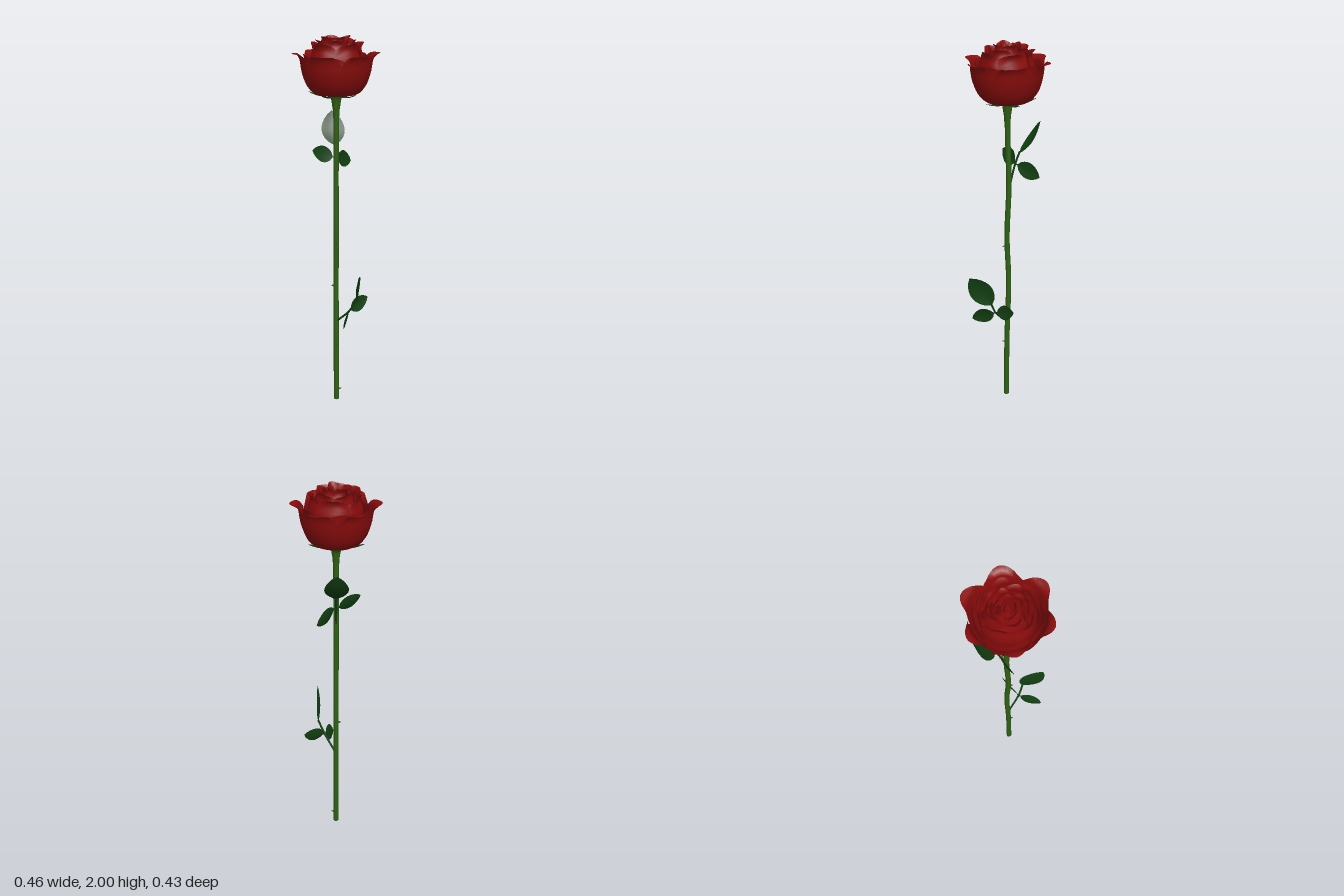
import * as THREE from 'three';

const material = (color) => new THREE.MeshStandardMaterial({ color, side: THREE.DoubleSide });
const V = (x, y, z) => new THREE.Vector3(x, y, z);

// Surface of (cols+1) x (rows+1) points; at(u, v) has u in -1..1 and v in 0..1
function gridSurface(cols, rows, at) {
  const pos = [], index = [];
  for (let j = 0; j <= rows; j++) {
    for (let i = 0; i <= cols; i++) {
      pos.push(...at((2 * i) / cols - 1, j / rows).toArray());
      if (i < cols && j < rows) {
        const a = j * (cols + 1) + i, b = a + cols + 1;
        index.push(a, a + 1, b, a + 1, b + 1, b);
      }
    }
  }
  const geo = new THREE.BufferGeometry();
  geo.setAttribute('position', new THREE.Float32BufferAttribute(pos, 3));
  geo.setIndex(index);
  geo.computeVertexNormals();
  return geo;
}

// Cupped petal: a [radius, height] profile swept over an arc, one edge tucked inside
function petalGeometry(profile, { half, drop, power, twist, wave, seed }) {
  const curve = new THREE.SplineCurve(profile.map(([r, y]) => new THREE.Vector2(r, y)));
  return gridSurface(14, 14, (u, v) => {
    const p = curve.getPointAt(v * (1 - drop * Math.abs(u) ** power));
    const r = p.x * (1 + twist * u) + wave * v ** 4 * Math.sin(4 * u + seed);
    const angle = u * half * (0.75 + 0.25 * Math.sin(Math.PI * Math.min(1, v + 0.15)));
    return V(r * Math.cos(angle), p.y, r * Math.sin(angle));
  });
}

// Leaf blade from base to tip, folded along its midrib and bowed along its normal
function leafGeometry(base, tip, width, sideHint, bow = 0.05) {
  const axis = tip.clone().sub(base), length = axis.length();
  axis.normalize();
  const side = sideHint.clone().addScaledVector(axis, -sideHint.dot(axis)).normalize();
  const normal = axis.clone().cross(side);
  return gridSurface(4, 9, (u, v) => {
    const w = (width / 2) * Math.sin(Math.PI * v ** 0.9) ** 0.75 || 0;
    const lift = bow * length * Math.sin(Math.PI * v) - 0.15 * w * Math.abs(u);
    return base.clone().addScaledVector(axis, v * length)
      .addScaledVector(side, u * w).addScaledVector(normal, lift);
  });
}

export function createModel() {
  const model = new THREE.Group();
  const red = material(0x8a0c0c), stemGreen = material(0x2f6014), leafGreen = material(0x123f12);
  const add = (parent, name, geo, mat) => {
    const mesh = new THREE.Mesh(geo, mat);
    mesh.name = name;
    parent.add(mesh);
    return mesh;
  };
  const group = (name) => {
    const g = new THREE.Group();
    g.name = name;
    model.add(g);
    return g;
  };
  const tube = (points, radius, sides = 6) =>
    new THREE.TubeGeometry(new THREE.CatmullRomCurve3(points), points.length * 5, radius, sides);

  // Stem, its cut end and the swelling under the flower
  const stem = group('stem');
  add(stem, 'stalk', tube([V(0, 0, -0.005), V(0, 0.35, -0.008), V(0, 0.7, -0.017), V(0, 0.95, -0.008),
    V(0, 1.25, -0.018), V(0, 1.5, -0.012), V(0, 1.7, -0.01)], 0.0145, 10), stemGreen);
  const cut = add(stem, 'cutEnd', new THREE.CircleGeometry(0.0145, 10), stemGreen);
  cut.rotation.x = Math.PI / 2;
  cut.position.z = -0.005;
  const swelling = [[0.0145, 1.56], [0.018, 1.62], [0.026, 1.67], [0.028, 1.69], [0.045, 1.702]];
  add(stem, 'receptacle', new THREE.LatheGeometry(
    swelling.map(([r, y]) => new THREE.Vector2(r, y)), 12), stemGreen).position.z = -0.01;

  // Thorns: [height, direction x, direction z, stem z]
  for (const [y, dx, dz, z] of [[0.06, 1, 0, -0.005], [0.33, 0, 1, -0.008], [0.66, -1, 0, -0.016], [0.9, 0, 1, -0.01]]) {
    const thorn = add(stem, 'thorn', new THREE.ConeGeometry(0.007, 0.02, 6), stemGreen);
    thorn.position.set(dx * 0.02, y, z + dz * 0.02);
    thorn.quaternion.setFromUnitVectors(V(0, 1, 0), V(dx, 0.15, dz).normalize());
  }

  // Leaf sprays: a stalk with one end leaf and two side leaflets
  const sprays = [
    { name: 'upperSpray', stalk: [V(0, 1.23, -0.02), V(0, 1.36, -0.05), V(0, 1.43, -0.075)],
      leaves: [
        [V(0, 1.42, -0.072), V(0, 1.59, -0.182), 0.125, V(1, 0, 0), 0.08],
        [V(-0.012, 1.362, -0.05), V(-0.128, 1.41, 0), 0.088, V(0, 1, -0.35)],
        [V(0.012, 1.362, -0.06), V(0.102, 1.315, -0.165), 0.088, V(0, -1, 0.2)],
      ] },
    { name: 'lowerSpray', stalk: [V(0, 0.455, -0.01), V(0.06, 0.535, 0.06), V(0.097, 0.61, 0.09)],
      leaves: [
        [V(0.096, 0.6, 0.085), V(0.097, 0.765, 0.205), 0.125, V(0.15, 0.6, -0.8), 0.06],
        [V(0.057, 0.535, 0.07), V(0.01, 0.485, 0.185), 0.088, V(0.2, 1, 0)],
        [V(0.068, 0.54, 0.056), V(0.175, 0.585, -0.022), 0.08, V(0.15, -1, 0.1)],
      ] },
  ];
  for (const { name, stalk, leaves } of sprays) {
    const spray = group(name);
    add(spray, 'leafStalk', tube(stalk, 0.0055), leafGreen);
    for (const leaf of leaves) {
      add(spray, 'leaf', leafGeometry(...leaf), leafGreen);
      if (leaf !== leaves[0]) add(spray, 'leafletStalk', tube([stalk[1], leaf[0]], 0.004), leafGreen);
    }
  }

  // Flower head: whorls of petals from the outside inwards
  const flower = group('flower');
  flower.position.z = -0.01;
  const whorls = [
    { name: 'outerPetal', count: 6, turn: 0, half: 0.72, drop: 0.22, power: 1.7, twist: 0.02, wave: 0,
      profile: [[0.01, 1.702], [0.1, 1.7], [0.148, 1.74], [0.176, 1.81], [0.186, 1.87], [0.197, 1.905], [0.231, 1.911]] },
    { name: 'cupPetal', count: 5, turn: 0.5, half: 0.85, drop: 0.1, power: 2, twist: 0.03, wave: 0.003,
      profile: [[0.01, 1.71], [0.09, 1.712], [0.135, 1.75], [0.16, 1.82], [0.162, 1.88], [0.168, 1.905]] },
    { name: 'middlePetal', count: 5, turn: 0.15, half: 0.85, drop: 0.1, power: 2, twist: 0.05, wave: 0.005,
      profile: [[0.01, 1.72], [0.08, 1.73], [0.13, 1.8], [0.138, 1.88], [0.122, 1.94], [0.138, 1.966]] },
    { name: 'innerPetal', count: 5, turn: 0.8, half: 0.85, drop: 0.1, power: 2, twist: 0.08, wave: 0.006,
      profile: [[0.01, 1.74], [0.07, 1.76], [0.108, 1.84], [0.108, 1.9], [0.09, 1.96], [0.106, 1.982]] },
    { name: 'budPetal', count: 4, turn: 0.3, half: 1.0, drop: 0.1, power: 2, twist: 0.12, wave: 0.006,
      profile: [[0.01, 1.78], [0.055, 1.8], [0.078, 1.88], [0.07, 1.94], [0.058, 1.975], [0.072, 1.998]] },
    { name: 'heartPetal', count: 3, turn: 0.1, half: 1.3, drop: 0.08, power: 2, twist: 0.2, wave: 0.004,
      profile: [[0.01, 1.82], [0.04, 1.86], [0.044, 1.92], [0.034, 1.965], [0.042, 1.992]] },
    { name: 'corePetal', count: 2, turn: 0.9, half: 1.9, drop: 0.05, power: 2, twist: 0.3, wave: 0.002,
      profile: [[0.005, 1.85], [0.022, 1.9], [0.018, 1.95], [0.012, 1.98]] },
  ];
  for (const { name, count, turn, profile, ...shape } of whorls) {
    for (let i = 0; i < count; i++) {
      const petal = add(flower, name, petalGeometry(profile, { ...shape, seed: i * 2.1 + turn * 5 }), red);
      petal.rotation.y = turn + (i * 2 * Math.PI) / count;
    }
  }

  // Sepals spread beneath the petals
  for (let i = 0; i < 5; i++) {
    const sepal = add(flower, 'sepal',
      leafGeometry(V(0.015, 1.692, 0), V(0.15, 1.712, 0), 0.05, V(0, 0, 1), 0.1), leafGreen);
    sepal.rotation.y = 0.3 + (i * 2 * Math.PI) / 5;
  }
  return model;
}
